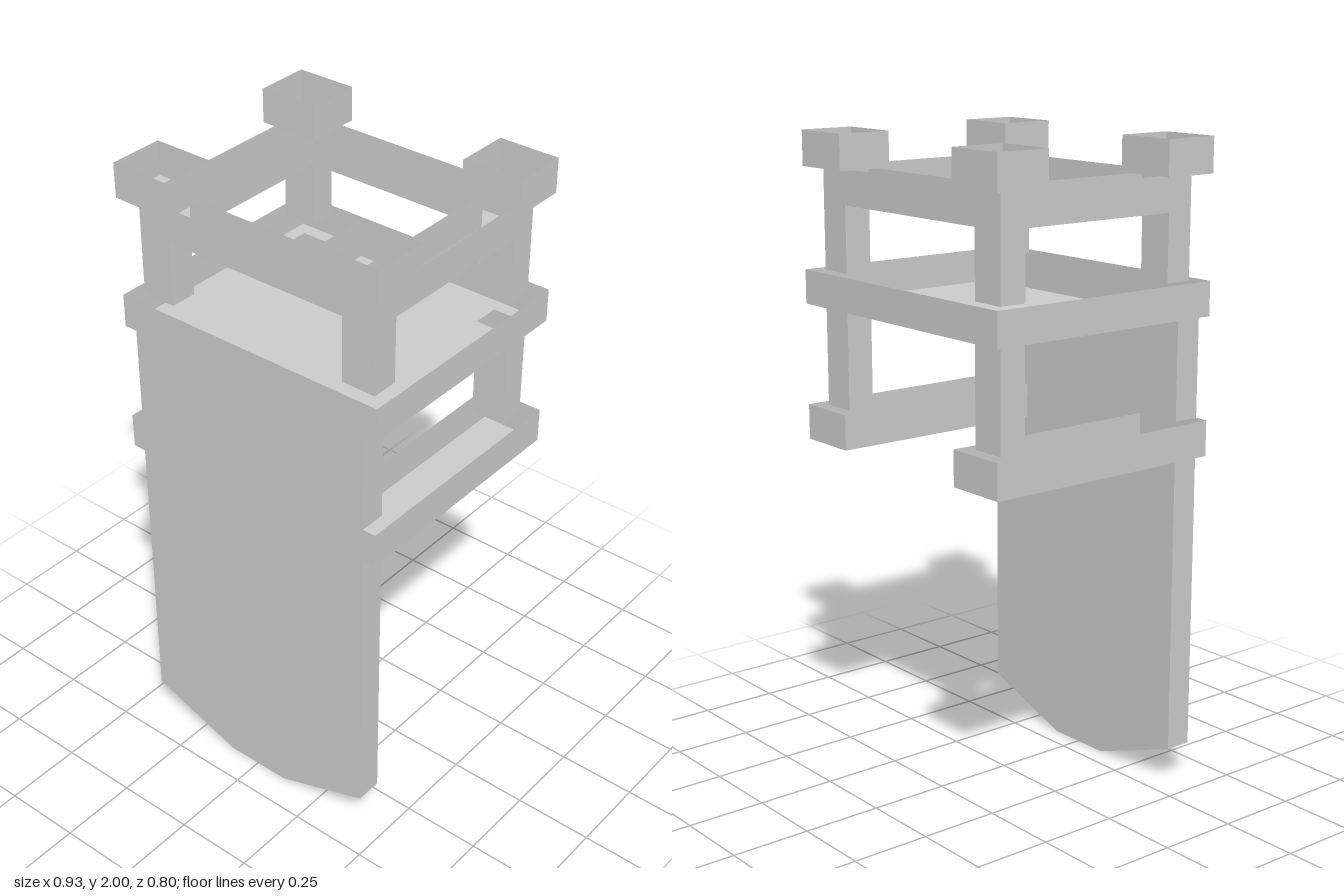
import * as THREE from 'three';
import { mergeGeometries } from 'three/addons/utils/BufferGeometryUtils.js';

const material = new THREE.MeshStandardMaterial({ color: 0xcccccc, flatShading: true, side: THREE.DoubleSide });

// Main plan sizes: slab edge, post outer and inner edges, cap inner edge
const EX = 0.465, EZ = 0.4;
const PX = 0.422, PZ = 0.355;
const IX = 0.31, IZ = 0.268;
const CX = 0.268, CZ = 0.223;
const PANEL_BACK = 0.315;

// Heights
const RAIL = [1.05, 1.16], SLAB = [1.475, 1.58], BEAM = [1.785, 1.892], CAP_TOP = 2;

// Counter-clockwise rectangle
const rect = (x0, y0, x1, y1) => [[x0, y0], [x1, y0], [x1, y1], [x0, y1]];
const close = (pts) => [...pts, pts[0]];

// Mirror a path while keeping its direction
function mirror(pts, sx, sy = 1) {
  const out = pts.map(([x, y]) => [x * sx, y * sy]);
  return sx * sy < 0 ? out.reverse() : out;
}

// Strip of quads: a path in xy drawn out along z
function strip(pts, z0, z1) {
  const pos = [];
  for (let i = 0; i < pts.length - 1; i++) {
    const [a, b] = pts[i], [c, d] = pts[i + 1];
    pos.push(a, b, z0, c, d, z0, c, d, z1, a, b, z0, c, d, z1, a, b, z1);
  }
  const g = new THREE.BufferGeometry();
  g.setAttribute('position', new THREE.Float32BufferAttribute(pos, 3));
  g.computeVertexNormals();
  return g;
}

// Flat polygon in xy facing +z
function face(pts, holes = []) {
  const toVec = (list) => list.map(([x, y]) => new THREE.Vector2(x, y));
  const shape = new THREE.Shape(toVec(pts));
  holes.forEach((h) => shape.holes.push(new THREE.Path(toVec(h))));
  const g = new THREE.ShapeGeometry(shape).toNonIndexed();
  g.deleteAttribute('uv');
  return g;
}

// Plan versions: upright walls and downward-facing floors, paths in (x, z)
const walls = (pts, y0, y1) => strip(pts, -y1, -y0).rotateX(Math.PI / 2);
const floor = (pts, y, holes) => face(pts, holes).rotateX(Math.PI / 2).translate(0, y, 0);

export function createModel() {
  const model = new THREE.Group();
  const add = (name, ...parts) => {
    const mesh = new THREE.Mesh(mergeGeometries(parts), material);
    mesh.name = name;
    model.add(mesh);
  };

  const post = rect(IX, IZ, PX, PZ);
  const corners = [[1, 1], [-1, 1], [1, -1], [-1, -1]];

  // Tall front panel with a tapered foot; the back is notched around the rails
  const foot = [[-PX, 0.112], [-0.11, 0], [0.11, 0], [PX, 0.112]];
  const backRight = [[PX, RAIL[0]], [CX, RAIL[0]], [CX, RAIL[1]], [PX, RAIL[1]], [PX, SLAB[0]]];
  const backLeft = backRight.map(([x, y]) => [-x, y]).reverse();
  add('frontPanel',
    face([...foot, [PX, SLAB[0]], [-PX, SLAB[0]]]).translate(0, 0, EZ),
    face([...foot, ...backRight, ...backLeft]).rotateY(Math.PI).translate(0, 0, PANEL_BACK),
    strip([[-PX, RAIL[0]], ...foot, [PX, RAIL[0]]], PANEL_BACK, EZ),
    strip([[PX, RAIL[1]], [PX, SLAB[0]]], PANEL_BACK, EZ),
    strip([[-PX, SLAB[0]], [-PX, RAIL[1]]], PANEL_BACK, EZ));

  // Open-topped platform, its floor open into the panel and the rear posts
  add('platform',
    walls(close(rect(-EX, -EZ, EX, EZ)), ...SLAB),
    floor([[-EX, -EZ], [EX, -EZ], [EX, EZ], [PX, EZ], [PX, PANEL_BACK],
      [-PX, PANEL_BACK], [-PX, EZ], [-EX, EZ]], SLAB[0],
    [mirror(post, 1, -1), mirror(post, -1, -1)]));

  // Lower side rails and the rear posts between rail and platform
  const railWall = [[CX, PANEL_BACK], [CX, -EZ], [EX, -EZ], [EX, EZ], [PX, EZ]];
  for (const [side, s] of [['left', 1], ['right', -1]]) {
    add(side + 'LowerRail',
      walls(mirror(railWall, s), ...RAIL),
      floor(mirror([...railWall, [PX, PANEL_BACK]], s), RAIL[0]));
    add(side + 'LowerPost', walls(close(mirror(post, s, -1)), RAIL[1], SLAB[0]));
  }

  // Ring of upper beams, open above and into the posts
  const ring = [];
  for (const s of [1, -1]) {
    ring.push(floor(mirror(rect(-IX, IZ, IX, PZ), 1, s), BEAM[0]));
    ring.push(floor(mirror(rect(IX, -IZ, PX, IZ), s), BEAM[0]));
  }
  add('upperBeams',
    walls(close(rect(-PX, -PZ, PX, PZ)), ...BEAM),
    walls(close(rect(-IX, -IZ, IX, IZ)).reverse(), ...BEAM),
    ...ring);

  // Upper posts and open corner caps
  const capOuter = [[EX, CZ], [EX, EZ], [CX, EZ], [CX, PZ], [PX, PZ], [PX, CZ]];
  for (const [sx, sz] of corners) {
    const name = (sz > 0 ? 'front' : 'back') + (sx > 0 ? 'Left' : 'Right');
    add(name + 'UpperPost', walls(close(mirror(post, sx, sz)), SLAB[1], BEAM[0]));
    add(name + 'Cap',
      walls(close(mirror(rect(CX, CZ, EX, EZ), sx, sz)), BEAM[1], CAP_TOP),
      floor(mirror(capOuter, sx, sz), BEAM[1]),
      floor(mirror(rect(CX, CZ, IX, IZ), sx, sz), BEAM[1]));
  }
  return model;
}
